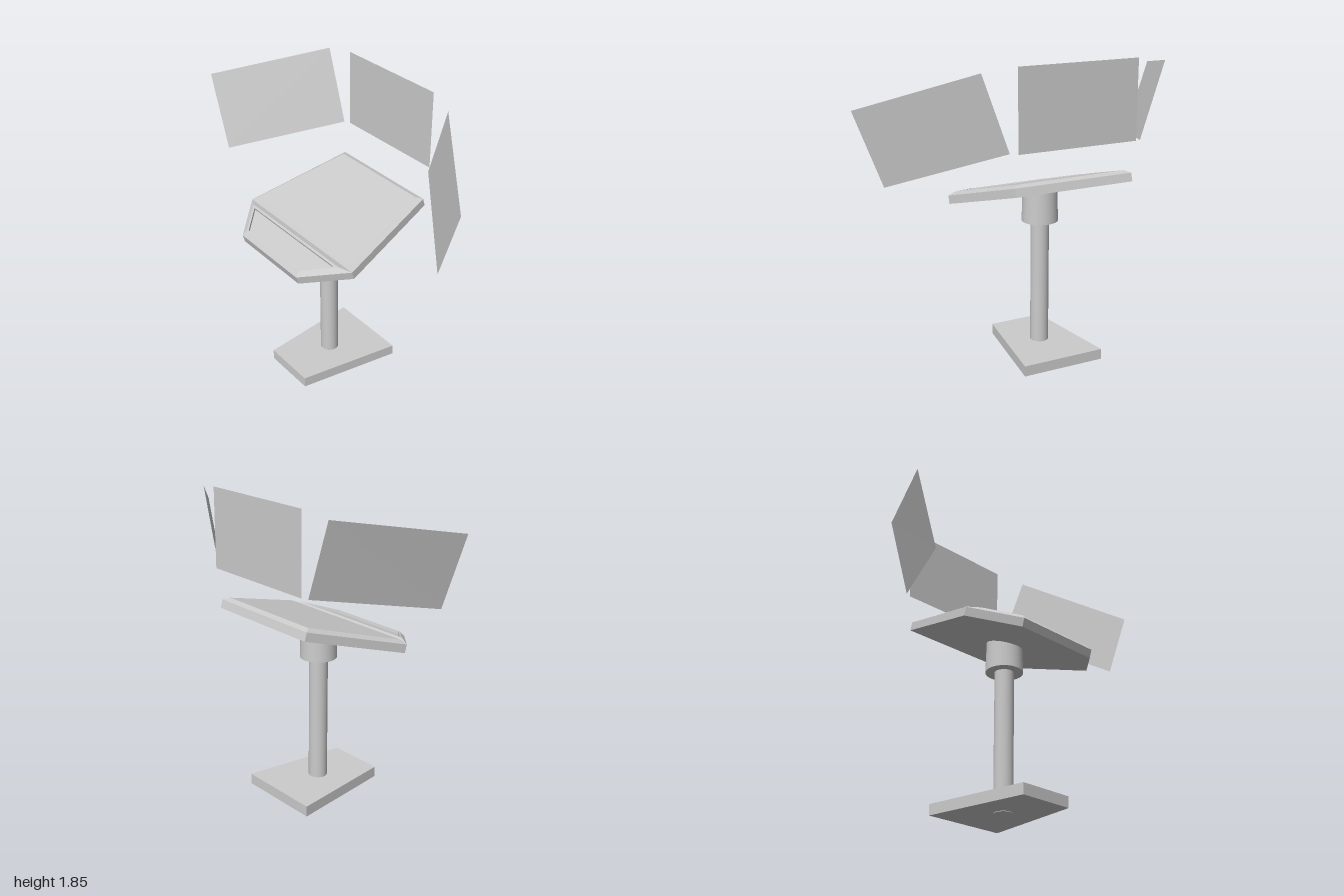
import * as THREE from 'three';

const CX = -0.117; // shared centre line of stand, console and middle screen

const material = new THREE.MeshStandardMaterial({ color: 0xcccccc });
const flat = new THREE.MeshStandardMaterial({ color: 0xcccccc, flatShading: true });
const thin = new THREE.MeshStandardMaterial({ color: 0xcccccc, side: THREE.DoubleSide });

function makeMesh(name, geometry, mat) {
  const mesh = new THREE.Mesh(geometry, mat);
  mesh.name = name;
  return mesh;
}

function fromTriangles(points) {
  const geometry = new THREE.BufferGeometry().setFromPoints(points);
  geometry.computeVertexNormals();
  return geometry;
}

// Ring at height y: the [x, z] points of the +x side, back to front, then mirrored
function ring(y, side) {
  const right = side.map(([x, z]) => new THREE.Vector3(x, y, z));
  const left = side.map(([x, z]) => new THREE.Vector3(-x, y, z)).reverse();
  return [...right, ...left];
}

// Flat-faced solid through successive rings, closed at the top and optionally below
function loft(rings, closedBelow) {
  const tris = [];
  const n = rings[0].length;
  for (let r = 0; r < rings.length - 1; r++) {
    const a = rings[r], b = rings[r + 1];
    for (let i = 0; i < n; i++) {
      const j = (i + 1) % n;
      tris.push(a[i], b[i], a[j], a[j], b[i], b[j]);
    }
  }
  const low = rings[0], top = rings[rings.length - 1];
  for (let i = 1; i < n - 1; i++) {
    tris.push(top[0], top[i + 1], top[i]);
    if (closedBelow) tris.push(low[0], low[i], low[i + 1]);
  }
  return fromTriangles(tris);
}

// Flat panel from four corners: top left, top right, bottom right, bottom left
function screen(name, corners) {
  const [a, b, c, d] = corners.map((p) => new THREE.Vector3(...p));
  return makeMesh(name, fromTriangles([a, d, b, b, d, c]), thin);
}

function column(name, rTop, rBottom, y0, y1) {
  const mesh = makeMesh(name, new THREE.CylinderGeometry(rTop, rBottom, y1 - y0, 32), material);
  mesh.position.set(CX, (y0 + y1) / 2, 0.006);
  return mesh;
}

export function createModel() {
  const model = new THREE.Group();
  model.name = 'consoleStand';

  // Foot narrows towards the front
  const foot = [[0.26, -0.31], [0.172, 0.328]];
  const base = makeMesh('base', loft([ring(0.003, foot), ring(0.068, foot)], true), flat);
  base.position.x = CX;
  model.add(base);

  model.add(column('pole', 0.056, 0.056, 0, 0.98));
  model.add(column('collar', 0.104, 0.11, 0.842, 1.045));

  // Tilted console, modelled level and then rotated
  const desk = new THREE.Group();
  desk.name = 'console';
  const back = [0.37, -0.438], wide = [0.5, 0.215], front = [0.275, 0.443];
  const outline = [back, wide, front];
  desk.add(makeMesh('consoleBody', loft([ring(0, outline), ring(0.05, outline)], true), flat));
  desk.add(makeMesh('mainPanel', loft([
    ring(0.05, [back, wide]),
    ring(0.069, [[0.342, -0.408], [0.466, 0.188]]),
  ]), flat));
  // Front panel: bevelled rim around a recessed face
  const rim = [[0.426, 0.247], [0.263, 0.413]];
  const recess = [[0.395, 0.262], [0.258, 0.401]];
  desk.add(makeMesh('frontPanel', loft([
    ring(0.05, [wide, front]), ring(0.071, rim), ring(0.071, recess), ring(0.057, recess),
  ]), flat));
  desk.position.set(CX, 1.016, 0);
  desk.rotation.x = 0.286;
  model.add(desk);

  // Floating screens
  model.add(screen('middleScreen', [
    [-0.487, 1.847, -0.443], [0.252, 1.847, -0.443], [0.252, 1.381, -0.443], [-0.487, 1.381, -0.443],
  ]));
  model.add(screen('rightScreen', [
    [-1, 1.707, 0.225], [-0.672, 1.82, -0.428], [-0.523, 1.379, -0.428], [-0.848, 1.269, 0.225],
  ]));
  model.add(screen('leftScreen', [
    [0.434, 1.817, -0.383], [1, 1.598, 0.044], [0.843, 1.161, 0.02], [0.283, 1.381, -0.405],
  ]));

  return model;
}
